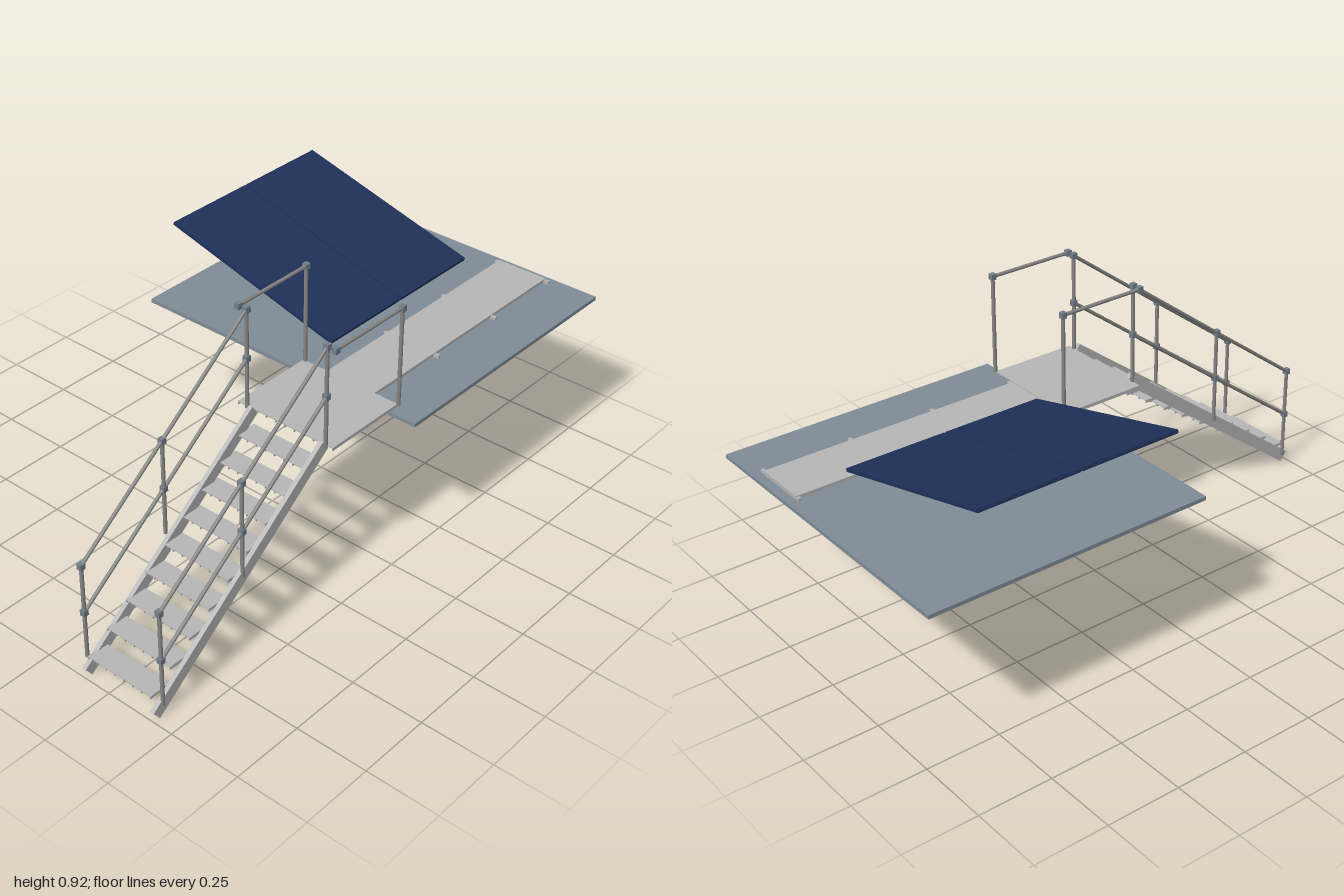
import * as THREE from 'three';

const mat = (name, color) => {
  const m = new THREE.MeshStandardMaterial({ color });
  m.name = name;
  return m;
};

export function createModel() {
  const model = new THREE.Group();
  model.name = 'roofAccessStair';
  const slabGrey = mat('slabGrey', 0x808c96);
  const aluminium = mat('aluminium', 0xb6b6b6);
  const railGrey = mat('railGrey', 0x858583);
  const fittingGrey = mat('fittingGrey', 0x74808a);
  const panelBlue = mat('panelBlue', 0x1f3158);

  const group = (name) => {
    const g = new THREE.Group();
    g.name = name;
    model.add(g);
    return g;
  };
  // box given by its limits along each axis
  const box = (parent, name, material, [x0, x1], [y0, y1], [z0, z1]) => {
    const m = new THREE.Mesh(new THREE.BoxGeometry(x1 - x0, y1 - y0, z1 - z0), material);
    m.position.set((x0 + x1) / 2, (y0 + y1) / 2, (z0 + z1) / 2);
    m.name = name;
    parent.add(m);
    return m;
  };
  // round bar between two points in a plane of constant z
  const bar = (parent, name, [x0, y0], [x1, y1], z, r = 0.0065) => {
    const a = new THREE.Vector3(x0, y0, z), b = new THREE.Vector3(x1, y1, z);
    const d = b.clone().sub(a);
    const m = new THREE.Mesh(new THREE.CylinderGeometry(r, r, d.length(), 12), railGrey);
    m.position.copy(a).add(b).multiplyScalar(0.5);
    m.quaternion.setFromUnitVectors(new THREE.Vector3(0, 1, 0), d.normalize());
    m.name = name;
    parent.add(m);
  };
  const fitting = (parent, [x, y], z) =>
    box(parent, 'railFitting', fittingGrey, [x - 0.009, x + 0.009], [y - 0.01, y + 0.01], [z - 0.009, z + 0.009]);
  // thin plate with ribs running along x underneath
  const plank = (name, x, top, z, ribs, depth) => {
    const g = group(name);
    box(g, 'plate', aluminium, x, [top - 0.003, top], z);
    for (let i = 0; i < ribs; i++) {
      const c = z[0] + 0.002 + (i / (ribs - 1)) * (z[1] - z[0] - 0.004);
      box(g, 'rib', aluminium, x, [top - depth, top - 0.003], [c - 0.001, c + 0.001]);
    }
  };

  // roof deck
  box(model, 'roofSlab', slabGrey, [0.02, 1], [0.54, 0.553], [-0.55, 0.547]);

  // two tilted solar panels
  for (const [x0, x1] of [[0.122, 0.468], [0.474, 0.82]]) {
    const p = box(model, 'solarPanel', panelBlue, [x0, x1], [0.704, 0.715], [-0.547, 0.149]);
    p.rotation.x = 0.262;
  }

  // landing and walkway
  plank('landing', [-0.255, 0.05], 0.57, [0.085, 0.457], 11, 0.012);
  plank('walkway', [0.05, 0.97], 0.567, [0.178, 0.366], 6, 0.011);
  for (const x of [0.053, 0.357, 0.661, 0.965])
    box(model, 'walkwaySupport', aluminium, [x - 0.005, x + 0.005], [0.553, 0.564], [0.166, 0.384]);

  // stair treads
  for (let i = 0; i < 9; i++) {
    const x = -0.983 + i * 0.0815;
    plank('tread', [x, x + 0.075], 0.076 + i * 0.055, [0.15, 0.406], 8, 0.011);
  }

  // sloping stringers
  for (const z of [0.149, 0.424]) {
    const s = box(model, 'stringer', aluminium, [-0.457, 0.457], [-0.0205, 0.0205], [-0.0075, 0.0075]);
    s.position.set(-0.6225, 0.295, z);
    s.rotation.z = Math.atan2(0.55, 0.73);
  }

  // stair handrails
  const posts = [[-0.96, 0.045, 0.382], [-0.62, 0.3, 0.635], [-0.255, 0.562, 0.909]];
  for (const z of [0.123, 0.43]) {
    const g = group('stairRail');
    posts.forEach(([x, foot, top], i) => {
      bar(g, 'post', [x, foot], [x, top], z);
      for (const drop of [0, 0.17]) {
        fitting(g, [x, top - drop], z);
        if (i > 0) {
          const [px, , pt] = posts[i - 1];
          bar(g, drop ? 'midRail' : 'topRail', [px, pt - drop], [x, top - drop], z, 0.006);
        }
      }
    });
  }

  // landing handrails
  for (const z of [0.092, 0.46]) {
    const g = group('landingRail');
    bar(g, 'topRail', [-0.255, 0.909], [0.05, 0.909], z, 0.006);
    bar(g, 'post', [0.05, 0.567], [0.05, 0.909], z);
    fitting(g, [-0.255, 0.909], z);
    fitting(g, [0.05, 0.909], z);
  }
  return model;
}
